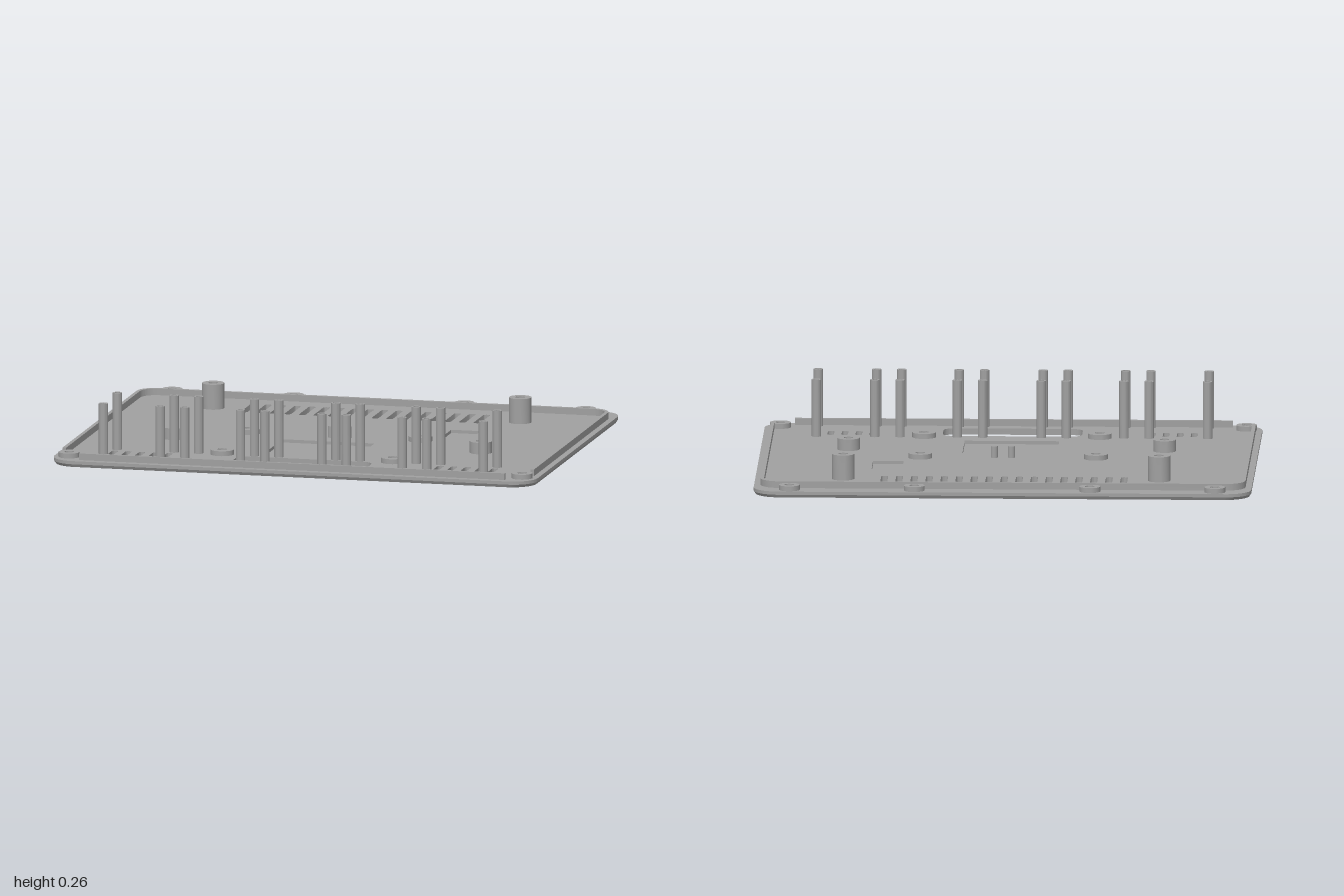
import * as THREE from 'three';
import { toCreasedNormals } from 'three/addons/utils/BufferGeometryUtils.js';

const FLOOR = 0.025, POCKET = 0.012, LIP = 0.052;
const W = 1, D = 0.767, R = 0.1;

// Rounded rectangle in plan (x, z)
function roundRect(x0, z0, x1, z1, r, Type = THREE.Path) {
  const p = new Type();
  p.moveTo(x0 + r, z0);
  p.lineTo(x1 - r, z0);
  p.absarc(x1 - r, z0 + r, r, -Math.PI / 2, 0);
  p.lineTo(x1, z1 - r);
  p.absarc(x1 - r, z1 - r, r, 0, Math.PI / 2);
  p.lineTo(x0 + r, z1);
  p.absarc(x0 + r, z1 - r, r, Math.PI / 2, Math.PI);
  p.lineTo(x0, z0 + r);
  p.absarc(x0 + r, z0 + r, r, Math.PI, Math.PI * 1.5);
  return p;
}
const rect = (x0, z0, x1, z1) =>
  new THREE.Path([[x0, z0], [x1, z0], [x1, z1], [x0, z1], [x0, z0]].map(p => new THREE.Vector2(...p)));
const circle = (x, z, r) => new THREE.Path().absarc(x, z, r, 0, Math.PI * 2);

// Extrude a plan shape between two heights
function slab(shape, y0, y1) {
  const g = new THREE.ExtrudeGeometry(shape, { depth: y1 - y0, bevelEnabled: false, curveSegments: 10 });
  return g.rotateX(Math.PI / 2).translate(0, y1, 0);
}
const lathe = (pts, n = 24) =>
  toCreasedNormals(new THREE.LatheGeometry(pts.map(p => new THREE.Vector2(...p)), n), 0.6);

export function createModel() {
  const model = new THREE.Group();
  model.name = 'enclosurePanel';
  const grey = new THREE.MeshStandardMaterial({ color: 0xa0a0a0 });
  grey.name = 'grey plastic';
  const add = (name, geo, x = 0, y = 0, z = 0) => {
    const m = new THREE.Mesh(geo, grey);
    m.name = name;
    m.position.set(x, y, z);
    model.add(m);
  };

  // Bosses: x, z, outer radius, top height, radius of the hole in the plate
  const bosses = [];
  for (const s of [-1, 1]) {
    bosses.push(['rimBoss', s * 0.855, -0.718, 0.042, 0.045, 0.026]);
    bosses.push(['rimBoss', s * 0.353, -0.718, 0.042, 0.045, 0.026]);
    bosses.push(['cornerBoss', s * 0.937, 0.676, 0.042, 0.045, 0.026]);
    bosses.push(['lowBoss', s * 0.353, 0.013, 0.048, 0.045, 0.019]);
    bosses.push(['lowBoss', s * 0.353, 0.476, 0.048, 0.045, 0.019]);
  }
  for (const x of [-0.623, 0.647]) {
    bosses.push(['tallStandoff', x, -0.467, 0.045, 0.127, 0.026]);
    bosses.push(['shortStandoff', x, 0.193, 0.045, 0.072, 0.026]);
  }

  // Openings through the whole plate
  const openings = () => {
    const list = bosses.map(([, x, z, , , r]) => circle(x, z, r));
    for (let i = -8; i <= 8; i++) {
      const x = i * 0.0602;
      list.push(roundRect(x - 0.014, -0.585, x + 0.014, -0.4, 0.0139));
    }
    for (const s of [-1, 1]) for (let i = 0; i < 5; i++) {
      const x = s * (0.561 + i * 0.0563);
      list.push(roundRect(x - 0.013, 0.508, x + 0.013, 0.595, 0.0129));
    }
    list.push(roundRect(-0.28, 0.5, 0.28, 0.671, 0.045));
    return list;
  };

  // Lower plate layer with a chamfered bottom edge
  const base = roundRect(-W, -D, W, D, R, THREE.Shape);
  base.holes = openings();
  const baseGeo = slab(base, 0, POCKET);
  const pos = baseGeo.attributes.position;
  for (let i = 0; i < pos.count; i++) {
    const x = pos.getX(i), z = pos.getZ(i);
    const edge = Math.hypot(Math.max(Math.abs(x) - W + R, 0), Math.max(Math.abs(z) - D + R, 0));
    if (pos.getY(i) < 0.001 && edge > R - 0.002) pos.setXYZ(i, x * 0.993, 0, z * 0.991);
  }
  baseGeo.computeVertexNormals();
  add('basePlate', toCreasedNormals(baseGeo, 0.5));

  // Upper plate layer, open over the two shallow pockets
  const top = roundRect(-W, -D, W, D, R, THREE.Shape);
  top.holes = [...openings(), rect(-0.193, 0.115, 0.187, 0.395), rect(0.417, -0.242, 0.54, -0.066)];
  add('floorPlate', toCreasedNormals(slab(top, POCKET, FLOOR), 0.5));

  // Raised lip round the back and sides
  const lip = new THREE.Shape();
  const xo = 0.975, xi = 0.96, zo = -0.686, zi = -0.671, zEnd = 0.632, r = 0.08, ri = 0.065;
  lip.moveTo(xo, zEnd);
  lip.lineTo(xo, zo + r);
  lip.absarc(xo - r, zo + r, r, 0, -Math.PI / 2, true);
  lip.lineTo(-xo + r, zo);
  lip.absarc(-xo + r, zo + r, r, -Math.PI / 2, -Math.PI, true);
  lip.lineTo(-xo, zEnd);
  lip.lineTo(-xi, zEnd);
  lip.lineTo(-xi, zi + ri);
  lip.absarc(-xi + ri, zi + ri, ri, -Math.PI, -Math.PI / 2);
  lip.lineTo(xi - ri, zi);
  lip.absarc(xi - ri, zi + ri, ri, -Math.PI / 2, 0);
  lip.lineTo(xi, zEnd);
  add('sideAndBackLip', toCreasedNormals(slab(lip, FLOOR, LIP), 0.5));

  // Front lip
  add('frontLip', new THREE.BoxGeometry(1.76, LIP - FLOOR, 0.013), 0, (LIP + FLOOR) / 2, 0.732);

  // Hollow bosses and standoffs
  for (const [name, x, z, ro, h] of bosses) {
    const hole = 0.019;
    add(name, lathe([[hole, FLOOR], [ro, FLOOR], [ro, h], [hole, h], [hole, FLOOR]], 32), x, 0, z);
  }

  // Two rows of tall posts with blind holes
  const postGeo = lathe([[0.019, FLOOR], [0.019, 0.257], [0.011, 0.257], [0.011, 0.2], [0, 0.2]], 20);
  for (const z of [0.479, 0.713]) for (const x of [0.118, 0.219, 0.45, 0.551, 0.786]) for (const s of [-1, 1])
    add('post', postGeo, s * x, 0, z);

  // Two small locating pins
  for (const x of [-0.013, 0.056])
    add('locatingPin', new THREE.CylinderGeometry(0.014, 0.014, 0.072 - FLOOR, 20), x, (0.072 + FLOOR) / 2, 0.026);

  return model;
}
